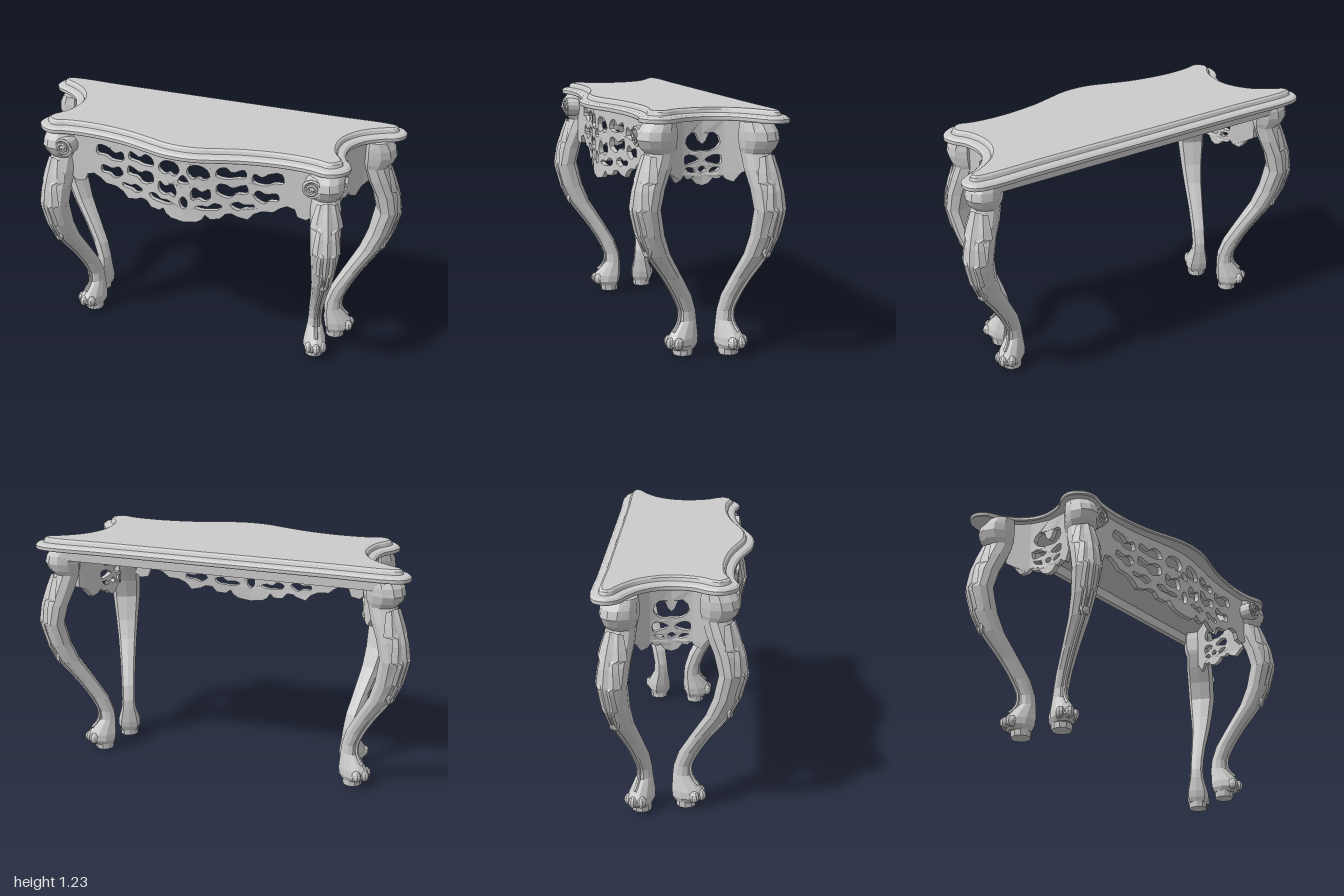
import * as THREE from 'three';

const material = new THREE.MeshStandardMaterial({ color: 0xcccccc, flatShading: true });
const thinMaterial = new THREE.MeshStandardMaterial({ color: 0xcccccc, flatShading: true, side: THREE.DoubleSide });

function add(parent, name, geometry, mat = material) {
  const mesh = new THREE.Mesh(geometry, mat);
  mesh.name = name;
  parent.add(mesh);
  return mesh;
}

// Smooth closed loop through 2D points
function smoothLoop(points, count) {
  const curve = new THREE.CatmullRomCurve3(points.map(([a, b]) => new THREE.Vector3(a, b, 0)), true);
  return curve.getPoints(count).slice(0, count).map(p => new THREE.Vector2(p.x, p.y));
}

// Completes a half loop with its reflection in x = 0 (first and last points lie on the axis)
const mirrorLoop = half => [...half, ...half.slice(1, -1).reverse().map(([x, y]) => [-x, y])];

// Skin over horizontal rings, bottom to top, closed at both ends
function loft(rings) {
  const n = rings[0].length, index = [];
  const flat = ring => ring.map(p => new THREE.Vector2(p.x, -p.z));
  for (let i = 0; i < rings.length - 1; i++) {
    for (let j = 0; j < n; j++) {
      const a = i * n + j, b = i * n + (j + 1) % n;
      index.push(a, b, b + n, a, b + n, a + n);
    }
  }
  const last = (rings.length - 1) * n;
  THREE.ShapeUtils.triangulateShape(flat(rings[0]), []).forEach(([a, b, c]) => index.push(a, c, b));
  THREE.ShapeUtils.triangulateShape(flat(rings[rings.length - 1]), [])
    .forEach(([a, b, c]) => index.push(last + a, last + b, last + c));
  const geometry = new THREE.BufferGeometry().setFromPoints(rings.flat());
  geometry.setIndex(index);
  geometry.computeVertexNormals();
  return geometry;
}

// Table top: serpentine outline (x, z) stacked as inset moulding rings
function makeTop() {
  const half = [[0, .375], [.1, .365], [.2, .335], [.32, .3], [.5, .275], [.65, .28], [.73, .3], [.79, .28],
    [.835, .215], [.82, .15], [.78, .09], [.762, 0], [.772, -.07], [.82, -.15], [.9, -.21], [.965, -.245],
    [.995, -.3], [.975, -.355], [.92, -.38], [.6, -.38], [0, -.38]];
  const outline = smoothLoop(mirrorLoop(half), 160);
  const ring = ([inset, y]) => outline.map((p, i) => {
    const t = outline[(i + 1) % 160].clone().sub(outline[(i + 159) % 160]).normalize();
    return new THREE.Vector3(p.x + t.y * inset, y, p.y - t.x * inset);
  });
  return loft([[.03, 1.172], [.004, 1.172], [0, 1.178], [0, 1.192], [.012, 1.202], [.04, 1.206],
    [.046, 1.222], [.056, 1.23]].map(ring));
}

// Leg profile: height, inner depth, outer depth, half width
const LEG = [[.03, -.03, .085, .05], [.055, -.04, .115, .062], [.09, -.045, .108, .06], [.13, -.045, .075, .05],
  [.17, -.045, .04, .04], [.22, -.04, .04, .036], [.3, -.012, .075, .038], [.4, .05, .14, .042],
  [.53, .135, .24, .052], [.63, .178, .29, .062], [.76, .21, .325, .076], [.86, .185, .31, .078],
  [.95, .145, .28, .078], [1.025, .12, .25, .072], [1.05, .115, .275, .082], [1.09, .115, .295, .09],
  [1.13, .115, .285, .09], [1.175, .12, .25, .082]];

function legAt(y) {
  const i = Math.max(1, LEG.findIndex(row => row[0] >= y));
  const t = (y - LEG[i - 1][0]) / (LEG[i][0] - LEG[i - 1][0]);
  return LEG[i].map((v, k) => THREE.MathUtils.lerp(LEG[i - 1][k], v, t));
}

const SECTION = mirrorLoop([[0, 1], [.5, .92], [.9, .68], [1, .38], [.75, .04], [0, 0]]);

// Serrated leaf that hugs the knee of the leg
function makeLeaf() {
  const rows = 27, cols = 6, points = [], index = [];
  for (let i = 0; i <= rows; i++) {
    const t = i / rows, [y, inner, outer, width] = legAt(1.025 - t * .5);
    const spread = (1 - .65 * t * t) * (.66 + .34 * ((i % 7) / 6));
    for (let j = 0; j <= cols; j++) {
      const a = (j / cols * 2 - 1) * spread;
      const lift = .01 + (j % 2 ? .008 : 0);
      points.push(new THREE.Vector3(a * width * 1.1, y - Math.abs(a) * .02, outer + lift - (outer - inner) * .38 * a * a));
      if (i < rows && j < cols) {
        const k = i * (cols + 1) + j;
        index.push(k, k + cols + 1, k + 1, k + 1, k + cols + 1, k + cols + 2);
      }
    }
  }
  const geometry = new THREE.BufferGeometry().setFromPoints(points);
  geometry.setIndex(index);
  geometry.computeVertexNormals();
  return geometry;
}

function makeLeg(name, x, z, angle) {
  const leg = new THREE.Group();
  leg.name = name;
  leg.position.set(x, 0, z);
  leg.rotation.y = angle;
  add(leg, 'cabrioleLeg', loft(LEG.map(([y, inner, outer, width]) =>
    SECTION.map(([a, d]) => new THREE.Vector3(a * width, y, inner + d * (outer - inner))))));
  add(leg, 'kneeLeaf', makeLeaf(), thinMaterial);
  // Raised rib down the shin
  const rib = [.78, .63, .53, .4, .3, .22, .16, .12].map(y => new THREE.Vector3(0, y, legAt(y)[2] + .003));
  add(leg, 'shinRib', new THREE.TubeGeometry(new THREE.CatmullRomCurve3(rib), 24, .01, 6));
  const bud = add(leg, 'leafBud', new THREE.SphereGeometry(.026, 8, 6));
  bud.position.set(0, .55, legAt(.55)[2]);
  bud.scale.set(1.1, 1.1, .8);
  // Paw toes and pad
  for (const i of [-1, 0, 1]) {
    const toe = add(leg, 'toe', new THREE.SphereGeometry(.026, 8, 6));
    toe.position.set(i * .038, .068, .1 - Math.abs(i) * .02);
    toe.scale.set(.85, 1.2, 1.1);
  }
  const pad = add(leg, 'footPad', new THREE.CylinderGeometry(.053, .05, .045, 10));
  pad.position.set(0, .0225, .02);
  return leg;
}

// Part of a convex polygon on one side (sign) of the plane x = cut
function clip(polygon, cut, sign) {
  return polygon.flatMap((p, i) => {
    const q = polygon[(i + 1) % polygon.length];
    const dp = (p.x - cut) * sign, dq = (q.x - cut) * sign;
    const kept = dp >= 0 ? [p.clone()] : [];
    if (dp * dq < 0) kept.push(p.clone().lerp(q, dp / (dp - dq)));
    return kept;
  });
}

// Pierced panel drawn flat as (s, y), sliced into strips, then bent by the place(s, depth) rule
function makePanel(bottom, holes, place) {
  const width = bottom[bottom.length - 1][0], strips = Math.ceil(width / .05);
  const edge = [...bottom.slice(1).reverse().map(([s, y]) => [-s, y]), ...bottom];
  for (let i = 0; i <= strips; i++) edge.push([width * (1 - 2 * i / strips), 1.175]);
  const shape = new THREE.Shape(edge.map(p => new THREE.Vector2(...p)));
  for (const hole of holes) shape.holes.push(new THREE.Path(smoothLoop(hole, 20)));
  const flat = new THREE.ExtrudeGeometry(shape, { depth: .025, bevelEnabled: false }).attributes.position;
  let pieces = [];
  for (let i = 0; i < flat.count; i += 3) {
    pieces.push([0, 1, 2].map(k => new THREE.Vector3().fromBufferAttribute(flat, i + k)));
  }
  for (let i = 1; i < strips; i++) {
    const cut = width * (1 - 2 * i / strips);
    pieces = pieces.flatMap(p => [clip(p, cut, 1), clip(p, cut, -1)].filter(part => part.length > 2
      && part.some(v => Math.abs(v.x - cut) > 1e-6)));
  }
  const points = [];
  for (const piece of pieces) {
    const bent = piece.map(p => {
      const [x, z] = place(p.x, p.z);
      return new THREE.Vector3(x, p.y, z);
    });
    for (let k = 2; k < bent.length; k++) points.push(bent[0], bent[k - 1], bent[k]);
  }
  const geometry = new THREE.BufferGeometry().setFromPoints(points);
  geometry.computeVertexNormals();
  return geometry;
}

const bothSides = holes => holes.flatMap(h => [h, h.map(([s, y]) => [-s, y])]);

export function createModel() {
  const table = new THREE.Group();
  table.name = 'consoleTable';
  add(table, 'tableTop', makeTop());

  // Front apron, bowed like the top's front edge
  const frontBottom = [[0, .795], [.07, .805], [.1, .825], [.115, .85], [.14, .83], [.19, .835], [.215, .865],
    [.25, .87], [.28, .855], [.33, .845], [.36, .88], [.4, .9], [.46, .905], [.49, .93], [.53, .95], [.57, .94],
    [.585, .9], [.63, .89], [.67, .92]];
  const frontHoles = [
    mirrorLoop([[0, 1.06], [.03, 1.02], [0, 1.012]]),
    mirrorLoop([[0, .94], [.02, .92], [.018, .885], [0, .87]]),
    ...bothSides([
      [[.02, 1.08], [.035, 1.115], [.08, 1.125], [.12, 1.11], [.14, 1.07], [.105, 1.045], [.08, 1.058], [.05, 1.045]],
      [[.168, 1.075], [.18, 1.115], [.22, 1.125], [.25, 1.1], [.31, 1.12], [.32, 1.078], [.27, 1.07], [.23, 1.062]],
      [[.35, 1.06], [.36, 1.105], [.4, 1.09], [.44, 1.115], [.5, 1.12], [.51, 1.07], [.46, 1.065], [.42, 1.045]],
      [[.17, .985], [.18, 1.03], [.22, 1.032], [.25, 1.015], [.32, 1.038], [.328, .99], [.27, .985], [.24, .958], [.2, .965]],
      [[.357, .98], [.38, 1.015], [.42, 1.0], [.48, 1.01], [.485, .97], [.44, .965], [.41, .945]],
      [[.038, .96], [.06, 1.0], [.1, .98], [.135, 1.0], [.142, .95], [.11, .928], [.08, .94], [.05, .928]],
      [[.24, .918], [.28, .94], [.31, .928], [.36, .932], [.36, .912], [.31, .905], [.28, .892]],
      [[.06, .888], [.09, .903], [.13, .9], [.16, .922], [.2, .91], [.185, .888], [.14, .88], [.1, .877]],
    ])];
  const frontZ = x => .205 + .07 * Math.exp(-((x / .28) ** 2));
  add(table, 'frontApron', makePanel(frontBottom, frontHoles, (s, t) => [s, frontZ(s) + t]));

  // Side aprons, hollowed like the top's ends
  const sideBottom = [[0, .855], [.03, .865], [.05, .89], [.075, .888], [.095, .905], [.11, .885], [.14, .875],
    [.17, .92], [.2, .94]];
  const sideHoles = [
    mirrorLoop([[0, 1.055], [.022, 1.08], [.03, 1.108], [.06, 1.11], [.085, 1.07], [.065, 1.035], [.03, 1.022], [0, 1.025]]),
    mirrorLoop([[0, .95], [.018, .935], [0, .92]]),
    ...bothSides([
      [[.015, .98], [.05, 1.003], [.086, 1.0], [.085, .962], [.05, .965]],
      [[.035, .92], [.045, .94], [.082, .943], [.065, .925]],
    ])];
  const sideX = z => .695 + 1.9 * (z - .02) ** 2;

  for (const side of [1, -1]) {
    const word = side > 0 ? 'left' : 'right';
    add(table, word + 'Apron', makePanel(sideBottom, sideHoles, (s, t) => {
      const z = -.02 - side * s;
      return [side * (sideX(z) + t), z];
    }));
    table.add(makeLeg(word + 'FrontLeg', side * .65, .03, side * Math.atan2(.38, .925)));
    table.add(makeLeg(word + 'BackLeg', side * .695, -.163, side * Math.atan2(.88, -.47)));

    // Volute beside the front leg
    const scroll = new THREE.Group();
    scroll.name = word + 'Scroll';
    scroll.position.set(side * .67, 1.1, .25);
    add(scroll, 'scrollDrum', new THREE.CylinderGeometry(.05, .055, .09, 14)).rotation.x = Math.PI / 2;
    const spiral = Array.from({ length: 25 }, (_, i) => {
      const a = i / 24 * Math.PI * 4, r = .045 - .036 * i / 24;
      return new THREE.Vector3(side * r * Math.cos(a), r * Math.sin(a), .043 + i * .0006);
    });
    add(scroll, 'scrollSpiral', new THREE.TubeGeometry(new THREE.CatmullRomCurve3(spiral), 48, .008, 5));
    table.add(scroll);
  }

  // Shallow rail under the back edge
  const rail = add(table, 'backRail', new THREE.BoxGeometry(1.74, .06, .03));
  rail.position.set(0, 1.145, -.315);
  return table;
}
